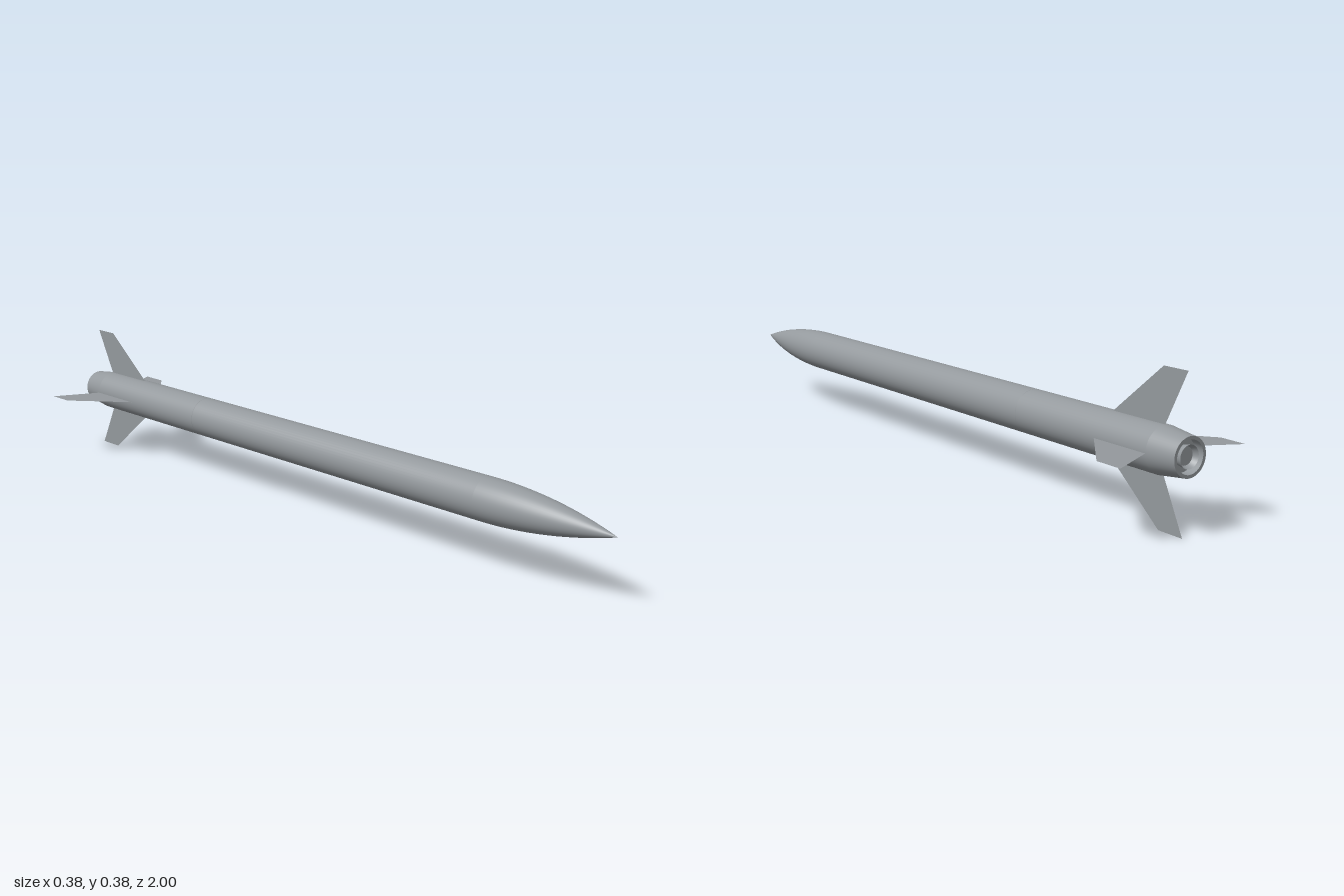
import * as THREE from 'three';

const R = 0.058, AXIS_Y = 0.19, SEGMENTS = 48;

export function createModel() {
  const model = new THREE.Group();
  model.name = 'rocket';
  const color = 0x94999d;
  const material = new THREE.MeshStandardMaterial({ color });
  const finMaterial = new THREE.MeshStandardMaterial({ color, side: THREE.DoubleSide });

  // Turned part: profile of [radius, z] pairs spun about the z axis
  function turned(name, profile) {
    const points = profile.map(([r, z]) => new THREE.Vector2(r, z));
    const mesh = new THREE.Mesh(new THREE.LatheGeometry(points, SEGMENTS).rotateX(Math.PI / 2), material);
    mesh.name = name;
    mesh.position.y = AXIS_Y;
    model.add(mesh);
  }

  // Tangent ogive nose, from shoulder to tip
  const noseBase = 0.62, noseLength = 0.38;
  const rho = (R * R + noseLength * noseLength) / (2 * R);
  const nose = [];
  for (let i = 0; i <= 16; i++) {
    const d = (noseLength * i) / 16;
    nose.push([Math.max(0, Math.sqrt(rho * rho - d * d) + R - rho), noseBase + d]);
  }
  turned('noseCone', nose);

  // Body in two sections with a fine seam between, then the tapered tail
  turned('frontBody', [[R, -0.449], [R, noseBase]]);
  turned('bodySeam', [[R, -0.451], [R - 0.001, -0.45], [R, -0.449]]);
  turned('rearBody', [[R, -0.92], [R, -0.451]]);
  turned('boatTail', [[0.048, -1], [R, -0.92]]);

  // Recessed tail face, one part per face to keep the edges sharp
  turned('recessFloor', [[0, -0.975], [0.04, -0.975]]);
  turned('recessWall', [[0.04, -0.975], [0.04, -1]]);
  turned('tailRim', [[0.04, -1], [0.048, -1]]);

  // Nozzle bell inside the recess
  turned('nozzleFloor', [[0, -0.985], [0.022, -0.985]]);
  turned('nozzleInside', [[0.022, -0.985], [0.025, -0.99], [0.028, -0.998]]);
  turned('nozzleOutside', [[0.028, -0.998], [0.026, -0.985], [0.024, -0.975]]);

  // Four thin swept fins, drawn as z along and radius up
  const outline = [[-0.748, R], [-0.909, 0.19], [-0.985, 0.19], [-0.92, R]];
  const shape = new THREE.Shape(outline.map(([z, r]) => new THREE.Vector2(z, r)));
  const finGeometry = new THREE.ShapeGeometry(shape).rotateY(-Math.PI / 2);
  ['topFin', 'leftFin', 'bottomFin', 'rightFin'].forEach((name, i) => {
    const fin = new THREE.Mesh(finGeometry, finMaterial);
    fin.name = name;
    fin.position.y = AXIS_Y;
    fin.rotation.z = (-i * Math.PI) / 2;
    model.add(fin);
  });

  return model;
}
